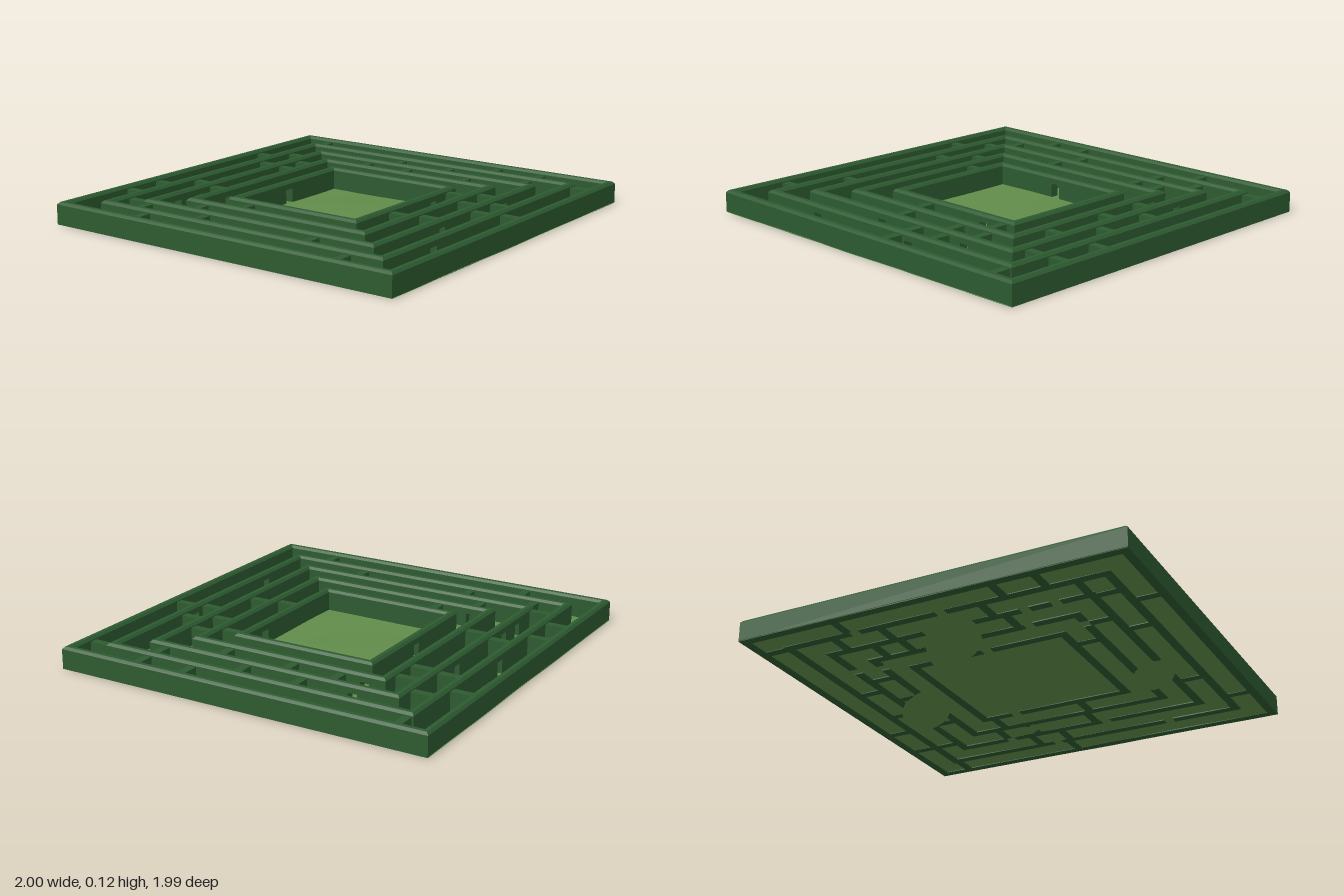
import * as THREE from 'three';

const BASE = 0.012, DOOR_TOP = 0.085, TOP = 0.125, T = 0.044, DOOR_W = 0.05;
const hedge = new THREE.MeshStandardMaterial({ color: 0x2d5a30 });
const grass = new THREE.MeshStandardMaterial({ color: 0x628c4b, side: THREE.DoubleSide });

// Rings from the outside in: half width, half depth, doorways per side
const rings = [
  { w: 1.0, d: 0.99, doors: {} },
  { w: 0.852, d: 0.84, doors: { front: [-0.46, 0.19], back: [0.46, 0] } },
  { w: 0.709, d: 0.69, doors: { front: [0.4, -0.16], back: [-0.51, -0.355, 0.15], right: [-0.45] } },
  { w: 0.567, d: 0.54, doors: { back: [-0.3], left: [-0.42], right: [-0.43] } },
  { w: 0.426, d: 0.39, doors: { front: [0.22], back: [0] } },
];

// Cross walls closing each corridor, by side (front +z, back -z, left -x, right +x)
const crossWalls = [
  { back: [-0.54, -0.33, 0.49], front: [0.13, 0.82], left: [-0.535, 0.65], right: [-0.81, 0.33, 0.59] },
  { back: [-0.68, -0.2, 0.33, 0.585], front: [0.11, 0.285], left: [-0.65, -0.28, 0.37], right: [-0.19, 0.12, 0.59] },
  { back: [-0.25, 0.31, 0.455], front: [-0.11, 0.23, 0.41], left: [-0.415], right: [-0.31, -0.055, 0.31] },
  { front: [-0.14, 0.355], left: [-0.24] },
];
const sides = { front: ['z', 1], back: ['z', -1], right: ['x', 1], left: ['x', -1] };

// Box spanning a range along a side and a range of distance from the centre
function sideBox(side, along0, along1, out0, out1, y0, y1, name) {
  const [axis, sign] = sides[side];
  const la = along1 - along0, lo = out1 - out0;
  const ca = (along0 + along1) / 2, co = sign * (out0 + out1) / 2;
  const size = axis === 'z' ? [la, y1 - y0, lo] : [lo, y1 - y0, la];
  const mesh = new THREE.Mesh(new THREE.BoxGeometry(...size), hedge);
  mesh.position.set(axis === 'z' ? ca : co, (y0 + y1) / 2, axis === 'z' ? co : ca);
  mesh.name = name;
  return mesh;
}

// Mitred rectangular frame with chamfered top edges
function frameGeometry(w, d, y0) {
  const c = 0.012;
  const profile = [[0, y0], [0, TOP - c], [c, TOP], [T - c, TOP], [T, TOP - c], [T, y0]];
  const corners = [[1, 1], [1, -1], [-1, -1], [-1, 1]];
  const n = profile.length, pos = [], index = [];
  for (const [sx, sz] of corners)
    for (const [inset, y] of profile) pos.push(sx * (w - inset), y, sz * (d - inset));
  for (let i = 0; i < 4; i++)
    for (let j = 0; j < n; j++) {
      const a = i * n + j, b = ((i + 1) % 4) * n + j;
      const a2 = i * n + (j + 1) % n, b2 = ((i + 1) % 4) * n + (j + 1) % n;
      index.push(a, b, b2, a, b2, a2);
    }
  const indexed = new THREE.BufferGeometry();
  indexed.setAttribute('position', new THREE.Float32BufferAttribute(pos, 3));
  indexed.setIndex(index);
  const geo = indexed.toNonIndexed();
  geo.computeVertexNormals();
  return geo;
}

// Hedge ring: continuous capped top over wall pieces that leave doorways
function makeRing({ w, d, doors }) {
  const ring = new THREE.Group();
  const hasDoors = Object.keys(doors).length > 0;
  const cap = new THREE.Mesh(frameGeometry(w, d, hasDoors ? DOOR_TOP : BASE), hedge);
  cap.name = 'hedgeTop';
  ring.add(cap);
  if (!hasDoors) return ring;
  for (const side in sides) {
    const alongZ = sides[side][0] === 'x';
    const out = alongZ ? w : d;
    const half = alongZ ? d - T : w;
    let start = -half;
    for (const p of [...(doors[side] || [])].sort((a, b) => a - b)) {
      ring.add(sideBox(side, start, p - DOOR_W / 2, out - T, out, BASE, DOOR_TOP, 'hedgeWall'));
      start = p + DOOR_W / 2;
    }
    ring.add(sideBox(side, start, half, out - T, out, BASE, DOOR_TOP, 'hedgeWall'));
  }
  return ring;
}

// Gently uneven lawn
function makeGround() {
  const geo = new THREE.PlaneGeometry(2, 1.99, 48, 48).rotateX(-Math.PI / 2);
  const p = geo.attributes.position;
  for (let i = 0; i < p.count; i++) {
    const x = p.getX(i), z = p.getZ(i);
    const wave = Math.sin(5.3 * x + 1.2) * Math.cos(4.7 * z - 0.6) + 0.6 * Math.sin(9 * x - 7 * z);
    p.setY(i, Math.max(0, 0.0145 + 0.0045 * wave * (1 - 0.6 * Math.max(Math.abs(x), Math.abs(z)))));
  }
  geo.computeVertexNormals();
  const mesh = new THREE.Mesh(geo, grass);
  mesh.name = 'ground';
  return mesh;
}

export function createModel() {
  const model = new THREE.Group();
  model.name = 'hedgeMaze';
  model.add(makeGround());

  rings.forEach((r, i) => {
    const ring = makeRing(r);
    ring.name = `hedgeRing${i + 1}`;
    model.add(ring);
  });

  // Cross walls reach from one ring's inner face to the next ring's outer face
  crossWalls.forEach((walls, i) => {
    const group = new THREE.Group();
    group.name = `crossWalls${i + 1}`;
    for (const side in walls) {
      const key = sides[side][0] === 'x' ? 'w' : 'd';
      const inner = rings[i + 1][key] - 0.005, outer = rings[i][key] - T + 0.005;
      for (const p of walls[side])
        group.add(sideBox(side, p - 0.021, p + 0.021, inner, outer, BASE, 0.108, 'crossWall'));
    }
    model.add(group);
  });
  return model;
}
